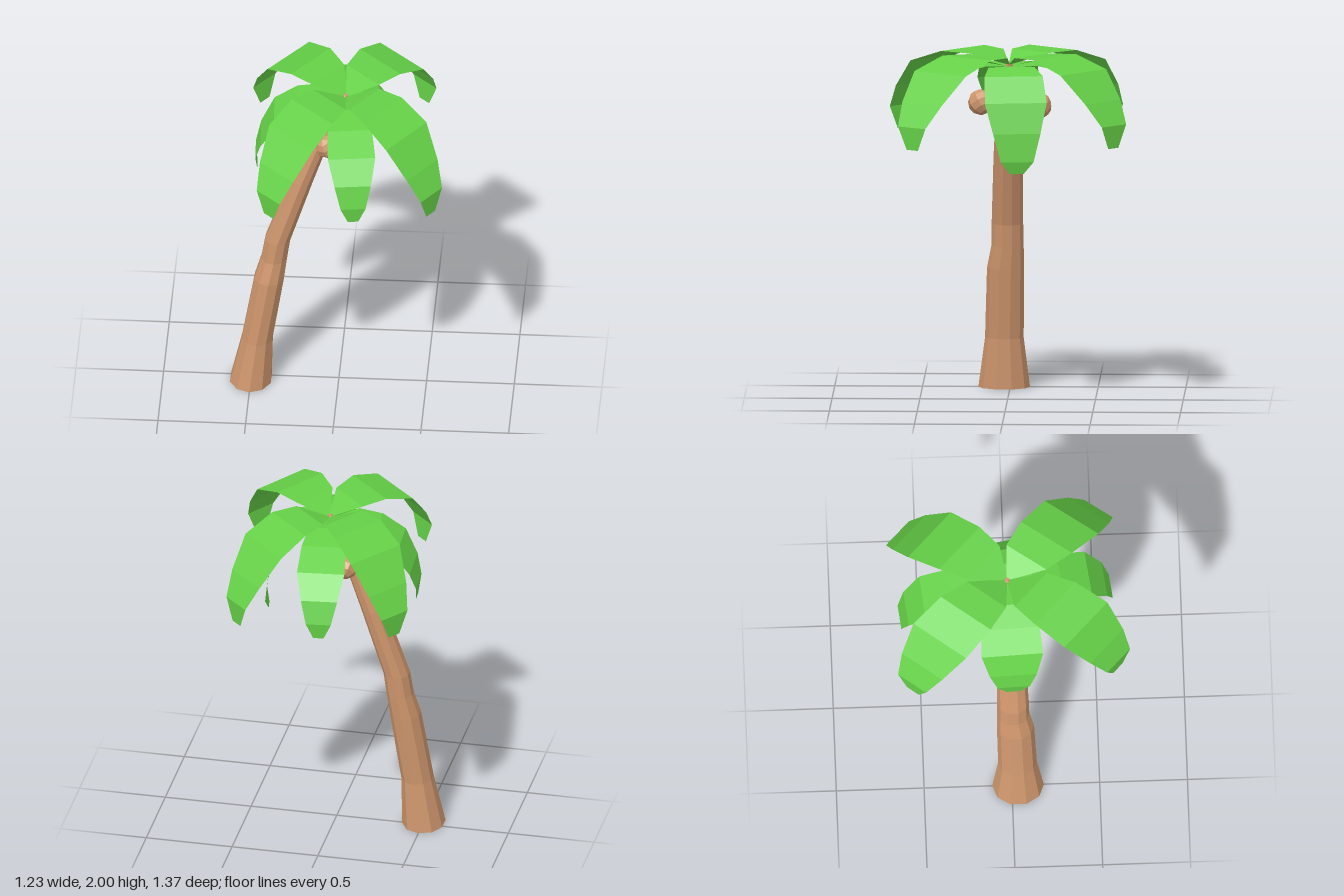
import * as THREE from 'three';

const bark = new THREE.MeshStandardMaterial({ color: 0xcd956c, flatShading: true });
const green = new THREE.MeshStandardMaterial({ color: 0x65d047, flatShading: true, side: THREE.DoubleSide });

// Trunk rings: centre x, y, z and radius
const RINGS = [
  [-0.5, 0, 0.035, 0.147], [-0.463, 0.29, 0.033, 0.11], [-0.395, 0.7, 0.024, 0.106],
  [-0.367, 0.83, 0.012, 0.092], [-0.347, 0.96, 0.012, 0.09], [-0.21, 1.37, 0.004, 0.083],
  [-0.105, 1.65, 0, 0.07], [-0.005, 1.86, -0.005, 0.056], [0.04, 1.945, -0.01, 0.012],
];

function trunkGeometry() {
  const n = RINGS.length - 1;
  const geo = new THREE.CylinderGeometry(1, 1, 1, 10, n);
  const p = geo.attributes.position;
  for (let i = 0; i < p.count; i++) {
    const [x, y, z, r] = RINGS[Math.round((p.getY(i) + 0.5) * n)];
    p.setXYZ(i, x + p.getX(i) * r * 0.83, y, z + p.getZ(i) * r);
  }
  geo.computeVertexNormals();
  return geo;
}

// Frond profiles: distance from the crown and height; widths are shared
const WIDTHS = [0.004, 0.136, 0.172, 0.183, 0.14, 0.097, 0.04];
const HIGH = [[0, 1.93], [0.16, 1.995], [0.325, 2], [0.53, 1.93], [0.67, 1.77], [0.75, 1.64], [0.745, 1.51]];
const MID = [[0, 1.92], [0.15, 1.935], [0.31, 1.9], [0.48, 1.82], [0.575, 1.69], [0.612, 1.56], [0.605, 1.47]];
const LOW = [[0, 1.92], [0.15, 1.93], [0.28, 1.89], [0.41, 1.8], [0.485, 1.67], [0.515, 1.56], [0.505, 1.46]];
const DROOP = [[0, 1.92], [0.1, 1.93], [0.2, 1.89], [0.3, 1.75], [0.345, 1.58], [0.362, 1.42], [0.345, 1.35]];

// name, heading in degrees, skew of the cross rows, profile, width factor, length factor
const FRONDS = [
  ['backRightFrond', 228, -11, HIGH, 1, 1], ['frontLeftFrond', 46, -11, HIGH, 1, 1],
  ['frontRightFrond', 123, 11, HIGH, 1, 0.99], ['backLeftFrond', 304, 10, HIGH, 1, 0.98],
  ['frontFrond', 82.5, 0, MID, 0.74, 0.98], ['backFrond', 263.5, 0, MID, 0.74, 1.01],
  ['rightFrond', 177.5, 0, LOW, 0.96, 1], ['leftFrond', -9, 0, DROOP, 0.97, 1],
];

function frondGeometry(heading, skew, profile, wide, long) {
  const a = THREE.MathUtils.degToRad(heading);
  const s = THREE.MathUtils.degToRad(heading + 90 + skew);
  const pos = [], index = [];
  profile.forEach(([reach, y], i) => {
    const d = reach * long;
    for (const side of [-1, 1]) {
      const w = side * WIDTHS[i] * wide;
      pos.push(0.04 + Math.cos(a) * d + Math.cos(s) * w, y, -0.01 + Math.sin(a) * d + Math.sin(s) * w);
    }
    if (i > 0) {
      const k = 2 * i - 2;
      index.push(k, k + 1, k + 2, k + 1, k + 3, k + 2);
    }
  });
  const geo = new THREE.BufferGeometry();
  geo.setAttribute('position', new THREE.Float32BufferAttribute(pos, 3));
  geo.setIndex(index);
  geo.computeVertexNormals();
  return geo;
}

export function createModel() {
  const group = new THREE.Group();
  group.name = 'palmTree';
  const add = (name, geo, mat) => {
    const mesh = new THREE.Mesh(geo, mat);
    mesh.name = name;
    group.add(mesh);
    return mesh;
  };

  add('trunk', trunkGeometry(), bark);
  for (const [name, ...shape] of FRONDS) add(name, frondGeometry(...shape), green);

  // Coconuts clustered around the top of the trunk
  const nut = new THREE.SphereGeometry(0.074, 8, 6);
  [[-0.055, 1.7, 0.155], [-0.085, 1.7, -0.155], [0.06, 1.7, -0.18]].forEach((at, i) => {
    const mesh = add('coconut' + (i + 1), nut, bark);
    mesh.position.set(...at);
    mesh.rotation.set(0.5, i * 1.3, 0.4);
  });
  return group;
}
